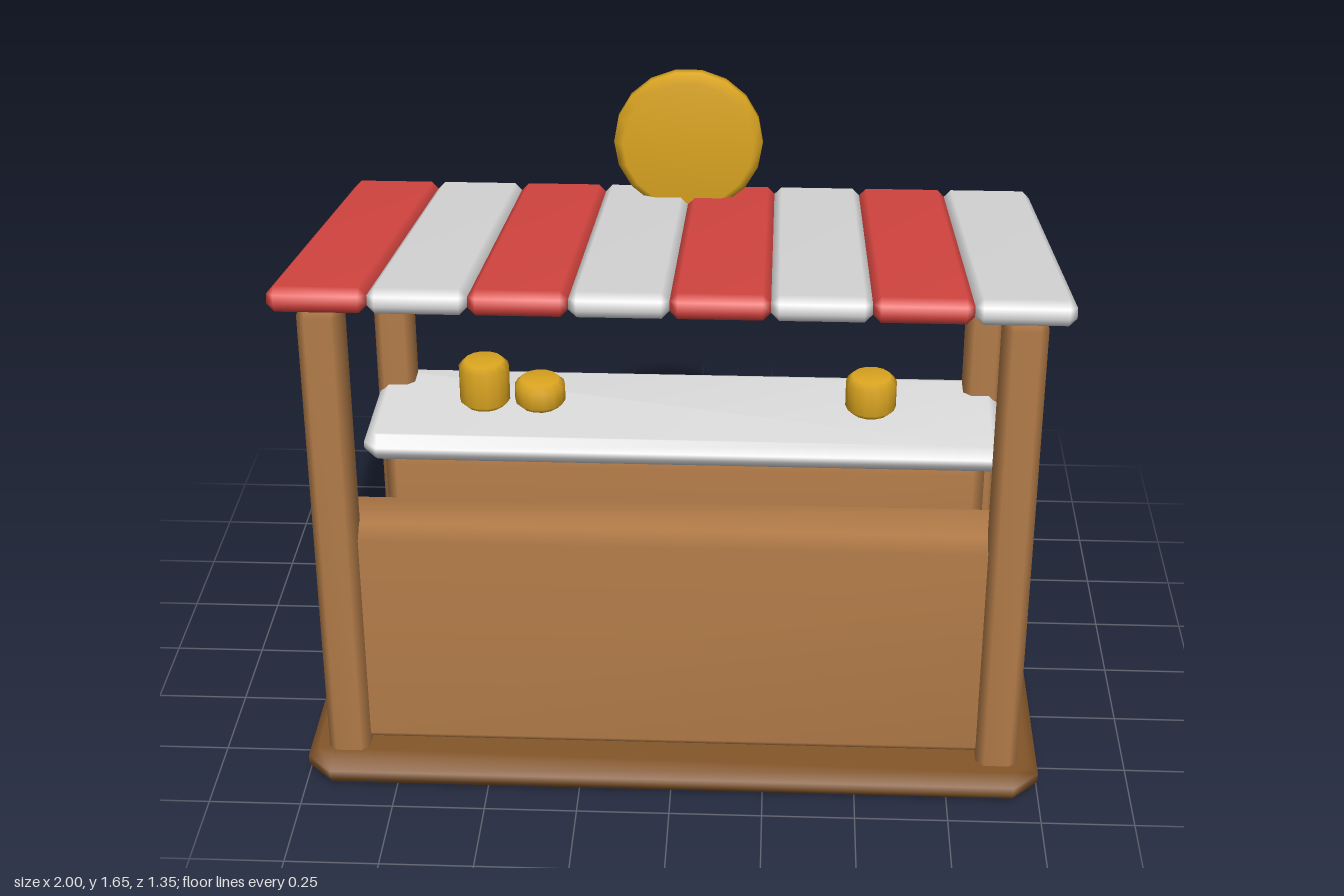
import * as THREE from 'three';
import { ConvexGeometry } from 'three/addons/geometries/ConvexGeometry.js';
import { mergeVertices } from 'three/addons/utils/BufferGeometryUtils.js';

const material = (name, color) => {
  const m = new THREE.MeshStandardMaterial({ color });
  m.name = name;
  return m;
};

// Box with every edge chamfered and soft normals; corner is the cut of the upright edges
function chamferBox(w, h, d, bevel, corner) {
  const points = [];
  for (const sx of [-1, 1]) for (const sy of [-1, 1]) for (const sz of [-1, 1]) {
    const put = (ix, iy, iz) => points.push(new THREE.Vector3(
      sx * (w / 2 - ix), sy * (h / 2 - iy), sz * (d / 2 - iz)));
    put(corner, bevel, 0);
    put(0, bevel, corner);
    put(corner, 0, bevel);
    if (corner > bevel) put(bevel, 0, corner);
  }
  const hull = new ConvexGeometry(points);
  hull.deleteAttribute('normal');
  const geometry = mergeVertices(hull);
  geometry.computeVertexNormals();
  return geometry;
}

// Upright disc of revolution with chamfered rims, centred on its own axis
function puck(radius, height, bevel, sides) {
  const h = height / 2;
  const profile = [[0, -h], [radius - bevel, -h], [radius, -h + bevel],
    [radius, h - bevel], [radius - bevel, h], [0, h]];
  return new THREE.LatheGeometry(
    profile.map(([r, y]) => new THREE.Vector2(r, y)), sides, Math.PI / 2);
}

export function createModel() {
  const wood = material('wood', 0xb27b48);
  const darkWood = material('dark wood', 0x84562a);
  const red = material('red', 0xdd4843);
  const white = material('white', 0xdfdfdf);
  const gold = material('gold', 0xdba520);

  const model = new THREE.Group();
  model.name = 'marketStall';

  const add = (name, geometry, mat, x, y, z, parent = model) => {
    const mesh = new THREE.Mesh(geometry, mat);
    mesh.name = name;
    mesh.position.set(x, y, z);
    parent.add(mesh);
    return mesh;
  };
  const box = (name, mat, [w, h, d], [x, y, z], bevel, parent = model, corner = bevel) =>
    add(name, chamferBox(w, h, d, bevel, corner), mat, x, y, z, parent);

  // Floor and the low wall on the closed side
  box('floor', darkWood, [2, 0.085, 1.335], [0, 0.0425, 0.006], 0.03, model, 0.07);
  box('lowWall', wood, [1.78, 0.68, 0.212], [0, 0.42, 0.465], 0.035);

  // Posts, taller on the closed side
  for (const side of [-1, 1]) {
    box('tallPost', wood, [0.112, 1.36, 0.115], [side * 0.885, 0.735, 0.557], 0.022);
    box('shortPost', wood, [0.112, 1.16, 0.115], [side * 0.885, 0.625, -0.543], 0.022);
  }

  // Serving counter
  box('counterBody', wood, [1.76, 0.51, 0.39], [0, 0.325, -0.373], 0.035);
  box('counterTop', white, [1.87, 0.08, 0.485], [0, 0.61, -0.376], 0.03, model, 0.04);
  box('counterStripe', red, [1.7, 0.13, 0.05], [0, 0.366, -0.573], 0.02);

  // Jars on the counter: x, height
  for (const [x, height] of [[-0.6, 0.145], [-0.435, 0.088], [0.547, 0.118]]) {
    add('jar', puck(0.075, height, 0.018, 14), gold, x, 0.649 + height / 2, -0.377);
  }

  // Sloping striped roof
  const roof = new THREE.Group();
  roof.name = 'roof';
  roof.position.set(0, 1.338, 0);
  roof.rotation.x = -0.193;
  model.add(roof);

  // Half-round flap, flat side up
  const scallop = new THREE.Shape();
  scallop.moveTo(-0.12, 0);
  const steps = 7;
  for (let i = 1; i <= steps; i++) {
    const a = Math.PI * (1 + i / steps);
    scallop.lineTo(Math.cos(a) * 0.12, Math.sin(a) * 0.12);
  }
  const flap = new THREE.ExtrudeGeometry(scallop, { depth: 0.066, bevelEnabled: false });

  for (let i = 0; i < 8; i++) {
    const x = -0.875 + i * 0.25;
    const mat = i % 2 ? white : red;
    box('roofStripe', mat, [0.25, 0.066, 1.364], [x, 0, 0], 0.02, roof);
    add('awningFlap', flap, mat, x, 1.184, -0.667);
  }

  // Round sign over the serving side
  const sign = new THREE.Group();
  sign.name = 'sign';
  sign.position.set(0, 1.438, -0.525);
  model.add(sign);
  add('signDisc', puck(0.214, 0.08, 0.026, 18), gold, 0, 0, 0, sign).rotation.x = -Math.PI / 2;
  add('signRing', puck(0.155, 0.05, 0.016, 18), gold, 0, 0, -0.036, sign).rotation.x = -Math.PI / 2;
  box('signBadge', red, [0.13, 0.13, 0.04], [0, 0, -0.056], 0.015, sign);

  return model;
}
